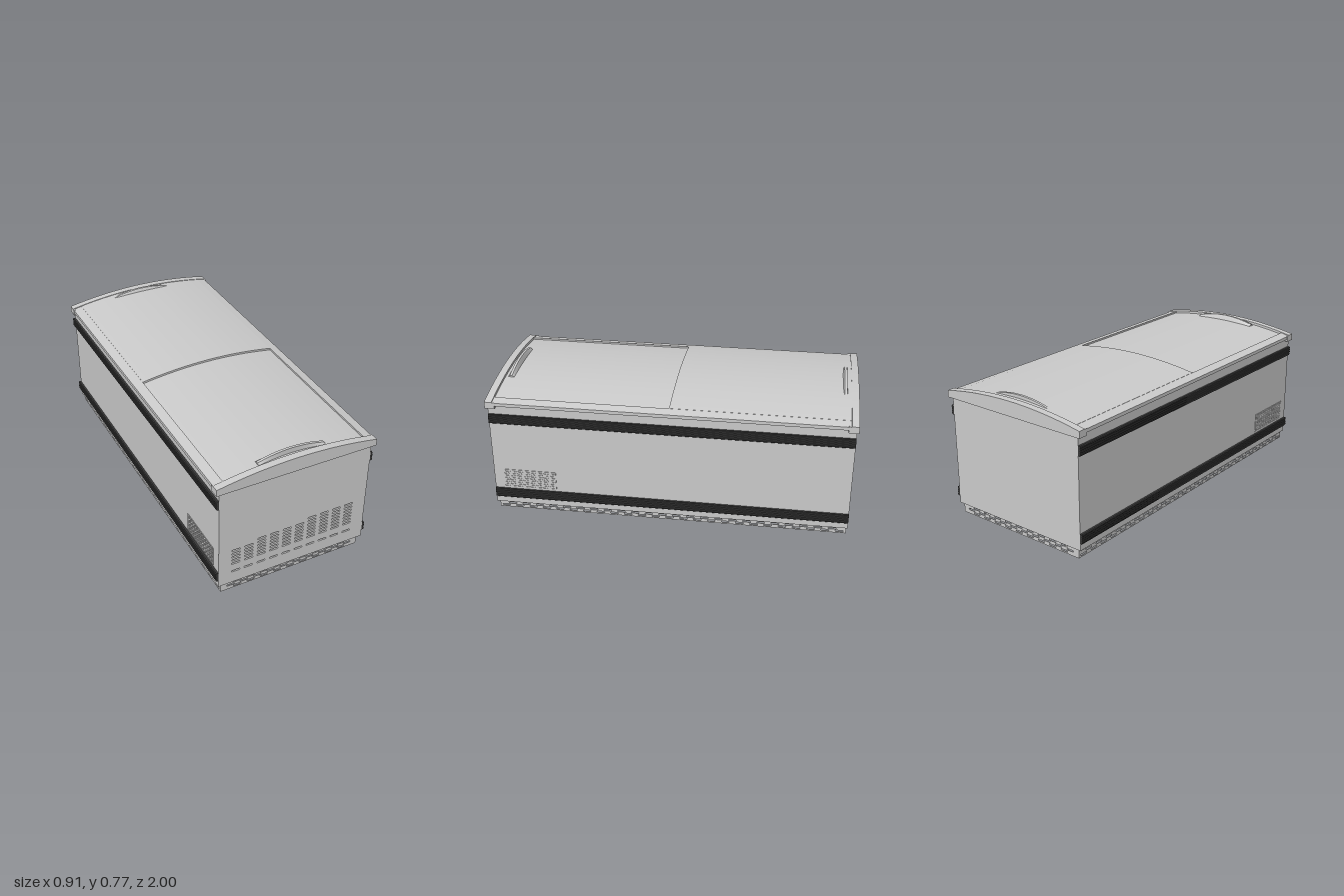
import * as THREE from 'three';

const grey = new THREE.MeshStandardMaterial({ color: 0xcccccc });
const dark = new THREE.MeshStandardMaterial({ color: 0x383838 });

// height of the crowned top across the width
const crown = (x) => 0.708 + 0.044 * (1 - (x / 0.455) ** 2);

function add(parent, name, geometry, material = grey) {
  const mesh = new THREE.Mesh(geometry, material);
  mesh.name = name;
  parent.add(mesh);
  return mesh;
}

function polygon(points) {
  return new THREE.Shape(points.map(([x, y]) => new THREE.Vector2(x, y)));
}

// shape in the xy plane, pushed from z0 to z1
function extrude(shape, z0, z1) {
  const g = new THREE.ExtrudeGeometry(shape, { depth: z1 - z0, bevelEnabled: false, curveSegments: 4 });
  return g.translate(0, 0, z0);
}

// flat plate with round-ended slots given as [x, y, width, height]
function slottedPlate(x0, x1, y0, y1, thickness, slots) {
  const shape = polygon([[x0, y0], [x1, y0], [x1, y1], [x0, y1]]);
  for (const [x, y, w, h] of slots) {
    const r = h / 2, d = w / 2 - r;
    const hole = new THREE.Path();
    hole.absarc(x + d, y, r, -Math.PI / 2, Math.PI / 2, false);
    hole.absarc(x - d, y, r, Math.PI / 2, Math.PI * 1.5, false);
    hole.closePath();
    shape.holes.push(hole);
  }
  return extrude(shape, -thickness / 2, thickness / 2);
}

// staggered slots filling a plinth side of half length L
function plinthSlots(L) {
  const slots = [], pitch = 0.079;
  [0.05, 0.036, 0.022].forEach((y, row) => {
    const shift = row === 1 ? pitch / 2 : 0;
    const n = Math.floor(L / pitch);
    for (let i = -n; i <= n; i++) {
      const x = i * pitch + shift;
      if (Math.abs(x) < L - 0.027) slots.push([x, y, 0.045, 0.009]);
    }
  });
  return slots;
}

// crowned cross-section with a curved or flat underside
function crownShape(half, top, bottom) {
  const points = [], n = 28;
  for (let i = 0; i <= n; i++) {
    const x = half - (2 * half * i) / n;
    points.push([x, top(x)]);
  }
  for (let i = 0; i <= n; i++) {
    const x = -half + (2 * half * i) / n;
    points.push([x, bottom(x)]);
  }
  return polygon(points);
}

// arched grip: a small section swept across the lid, highest in the middle
function handleGeometry() {
  const n = 28, section = [[0.948, 0], [0.936, 1], [0.922, 1], [0.918, 0.75], [0.91, 0.1], [0.91, 0]];
  const m = section.length, pos = [], index = [];
  for (let i = 0; i <= n; i++) {
    const t = -1 + (2 * i) / n, x = -0.01 + 0.19 * t;
    const base = crown(x) - 0.016, top = 0.767 - 0.028 * t * t;
    for (const [z, k] of section) {
      const bow = z > 0.92 ? -0.012 * (1 - t * t) * (1 - k) : 0;
      pos.push(x, base + (top - base) * k, z + bow);
    }
  }
  for (let i = 0; i < n; i++) {
    for (let j = 0; j < m; j++) {
      const a = i * m + j, b = i * m + ((j + 1) % m);
      index.push(a, a + m, b, b, a + m, b + m);
    }
  }
  for (let j = 1; j < m - 1; j++) {
    index.push(0, j, j + 1, n * m, n * m + j + 1, n * m + j);
  }
  const g = new THREE.BufferGeometry();
  g.setAttribute('position', new THREE.Float32BufferAttribute(pos, 3));
  g.setIndex(index);
  const flat = g.toNonIndexed();
  flat.computeVertexNormals();
  return flat;
}

// ribbed bumper profile, protruding toward +x from x = 0
function bumperShape() {
  const points = [[0, 0], [0.012, 0]];
  for (let i = 0; i < 4; i++) {
    const y = 0.004 + i * 0.012;
    points.push([0.016, y], [0.016, y + 0.007], [0.012, y + 0.009], [0.012, y + 0.011]);
  }
  points.push([0.012, 0.054], [0, 0.054]);
  return polygon(points);
}

export function createModel() {
  const model = new THREE.Group();
  model.name = 'chestFreezer';

  // cabinet
  const cabinet = new THREE.Group();
  cabinet.name = 'cabinet';
  cabinet.position.x = -0.003;
  model.add(cabinet);
  add(cabinet, 'cabinetBody', new THREE.BoxGeometry(0.866, 0.62, 1.97)).position.set(0, 0.37, -0.005);

  // front panel with its vent slots
  const vents = [];
  for (let c = 0; c < 10; c++) {
    const rows = [0.135, 0.188, 0.21, 0.232, 0.253, 0.275];
    if (c > 1) rows.push(0.297);
    if (c > 5) rows.push(0.319);
    for (const y of rows) vents.push([-0.335 + c * 0.0738, y, 0.05, 0.009]);
  }
  add(cabinet, 'frontVentPanel', slottedPlate(-0.433, 0.433, 0.06, 0.67, 0.012, vents)).position.z = 0.986;

  // side grilles and bumper rails
  const holes = [];
  for (let r = 0; r < 8; r++) {
    for (let c = 0; c < 12; c++) {
      holes.push([-0.138 + c * 0.0242 + (r % 2 ? 0.008 : 0), -0.047 + r * 0.0134, 0.017, 0.008]);
    }
  }
  for (const side of [1, -1]) {
    const grille = add(cabinet, 'sideGrille', slottedPlate(-0.15, 0.15, -0.056, 0.056, 0.004, holes));
    grille.rotation.y = side * Math.PI / 2;
    grille.position.set(side * 0.434, 0.221, 0.787);
    for (const y of [0.1, 0.573]) {
      const bumper = add(cabinet, 'bumperRail', extrude(bumperShape(), -0.99, 0.99), dark);
      bumper.position.set(side * 0.432, side > 0 ? y : y + 0.054, 0);
      bumper.rotation.z = side > 0 ? 0 : Math.PI;
    }
  }

  // perforated plinth
  const plinth = new THREE.Group();
  plinth.name = 'plinth';
  plinth.position.x = -0.007;
  model.add(plinth);
  for (const side of [1, -1]) {
    add(plinth, 'plinthEnd', slottedPlate(-0.413, 0.413, 0.01, 0.062, 0.004, plinthSlots(0.413)))
      .position.z = side * 0.982;
    const long = add(plinth, 'plinthSide', slottedPlate(-0.98, 0.98, 0.01, 0.062, 0.004, plinthSlots(0.98)));
    long.rotation.y = Math.PI / 2;
    long.position.x = side * 0.411;
  }

  // levelling feet
  const footProfile = [[0, 0], [0.016, 0], [0.018, 0.003], [0.018, 0.01], [0.009, 0.013], [0.009, 0.03],
    [0.018, 0.031], [0.018, 0.038], [0.012, 0.039], [0.012, 0.048], [0.024, 0.049], [0.024, 0.062]]
    .map(([x, y]) => new THREE.Vector2(x, y));
  for (const x of [-0.292, 0.284]) {
    for (const z of [-0.93, 0.905]) {
      add(model, 'foot', new THREE.LatheGeometry(footProfile, 16)).position.set(x, 0, z);
    }
  }

  // top frame: crowned end caps and sloping side rails
  const capShape = crownShape(0.455, crown, () => 0.67);
  add(model, 'frontCap', extrude(capShape, 0.96, 1));
  add(model, 'backCap', extrude(capShape, -1, -0.96));
  for (const side of [1, -1]) {
    const rail = polygon([[0.4, 0.67], [0.432, 0.67], [0.432, 0.68], [0.452, 0.684], [0.452, 0.703], [0.4, 0.714]]
      .map(([x, y]) => [side * x, y]));
    add(model, 'sideRail', extrude(rail, -0.96, 0.96));
    for (const z of [-0.955, 0.955]) {
      add(model, 'cornerBlock', new THREE.BoxGeometry(0.055, 0.036, 0.02)).position.set(side * 0.4275, 0.688, z);
    }
  }

  // two sliding lids, the back one riding above the front one
  const lid = (drop, thick) => crownShape(0.4, (x) => crown(x) - drop, (x) => crown(x) - drop - thick);
  add(model, 'frontLid', extrude(lid(0.014, 0.012), -0.03, 0.96));
  add(model, 'backLid', extrude(lid(0.003, 0.011), -0.96, 0));
  add(model, 'lidBed', extrude(crownShape(0.4, (x) => crown(x) - 0.026, () => 0.668), -0.96, 0.96));

  // lid handles
  add(model, 'frontHandle', handleGeometry());
  const backHandle = add(model, 'backHandle', handleGeometry());
  backHandle.rotation.y = Math.PI;
  backHandle.position.x = -0.02;

  return model;
}
